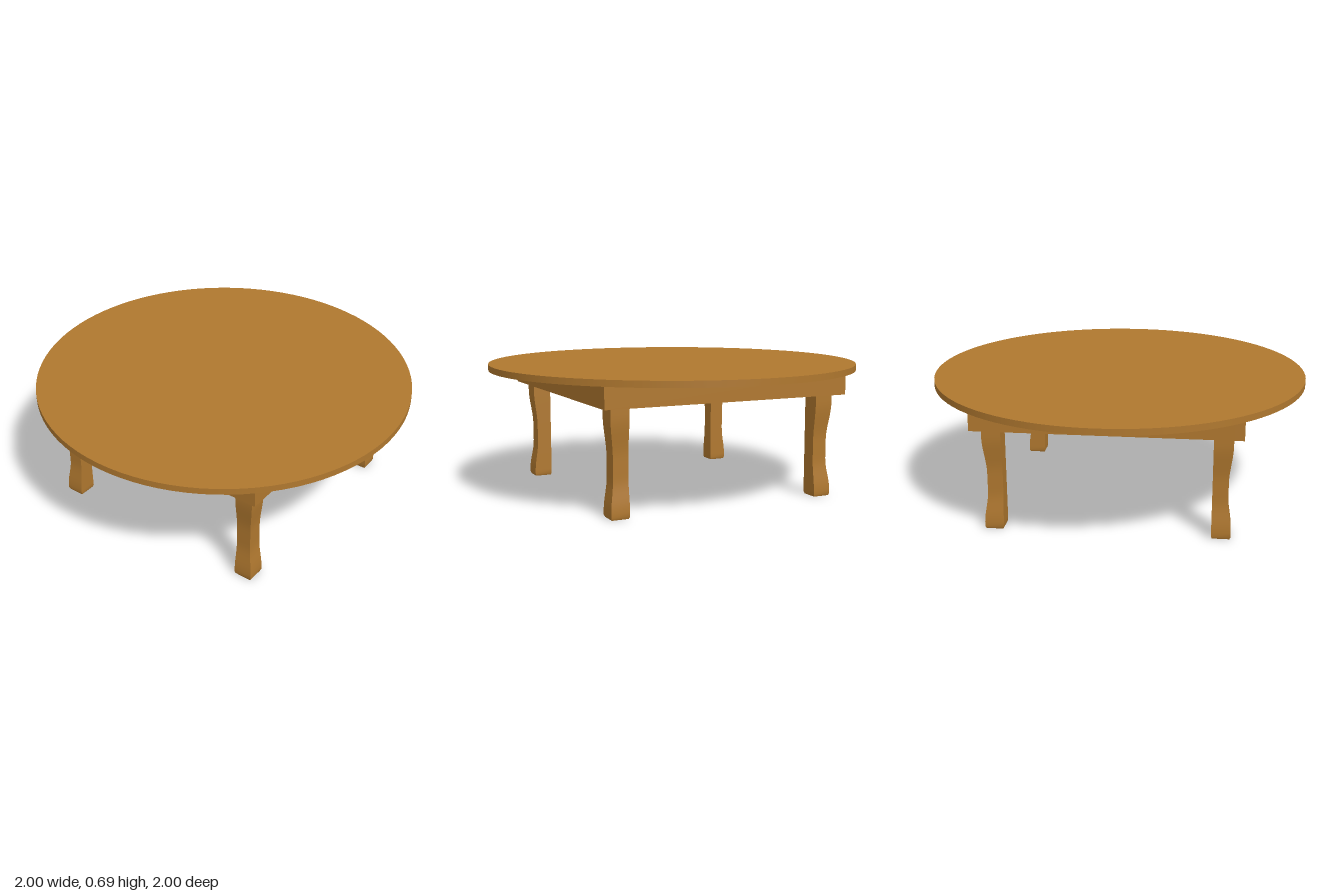
import * as THREE from 'three';

export function createModel() {
  const wood = new THREE.MeshStandardMaterial({ color: 0xb0782f });
  wood.name = 'warm wood';
  const table = new THREE.Group();
  table.name = 'roundTable';

  const add = (name, geometry) => {
    const mesh = new THREE.Mesh(geometry, wood);
    mesh.name = name;
    table.add(mesh);
    return mesh;
  };

  // Box given by its extents along x, y and z
  const board = (name, x0, x1, y0, y1, z0, z1) =>
    add(name, new THREE.BoxGeometry(x1 - x0, y1 - y0, z1 - z0))
      .position.set((x0 + x1) / 2, (y0 + y1) / 2, (z0 + z1) / 2);

  // Round top
  const top = 0.693, under = 0.66;
  add('tableTop', new THREE.CylinderGeometry(1, 1, top - under, 96)).position.y = (top + under) / 2;

  // Square apron
  const outer = 0.678, inner = 0.628, apronY = 0.545;
  for (const s of [-1, 1]) {
    const mid = s * (outer + inner) / 2, half = (outer - inner) / 2;
    board('apronLong', -outer, outer, apronY, under, mid - half, mid + half);
    board('apronShort', mid - half, mid + half, apronY, under, -inner, inner);
  }

  // Support frame inside the apron: three rails and two cross boards
  const frameY = 0.562;
  board('middleRail', -inner, inner, frameY, under, -0.032, 0.032);
  for (const s of [-1, 1]) {
    const z = s * 0.603, x = s * 0.492;
    board('endRail', -inner, inner, frameY, under, z - 0.025, z + 0.025);
    board('crossBoard', x - 0.03, x + 0.03, frameY, under, -0.578, 0.578);
  }

  // Leg: flat inner faces, outer faces drawn in at the waist, small bevel at the foot
  const rows = 28, legTop = 0.655, legIn = 0.53;
  const legOut = (y) => 0.628 - 0.018 *
    THREE.MathUtils.smoothstep(y, 0.03, 0.2) * (1 - THREE.MathUtils.smoothstep(y, 0.3, 0.5));
  const leg = new THREE.BoxGeometry(1, 1, 1, 1, rows, 1);
  const pos = leg.attributes.position;
  for (let i = 0; i < pos.count; i++) {
    const row = Math.round((pos.getY(i) + 0.5) * rows);
    const y = row === 0 ? 0 : 0.012 + (legTop - 0.012) * (row - 1) / (rows - 1);
    const bevel = row === 0 ? 0.005 : 0;
    const place = (side) => (side > 0 ? legOut(y) - bevel : legIn + bevel);
    pos.setXYZ(i, place(pos.getX(i)), y, place(pos.getZ(i)));
  }
  leg.computeVertexNormals();
  ['frontLeftLeg', 'backLeftLeg', 'backRightLeg', 'frontRightLeg'].forEach((name, i) => {
    add(name, leg).rotation.y = i * Math.PI / 2;
  });

  return table;
}
